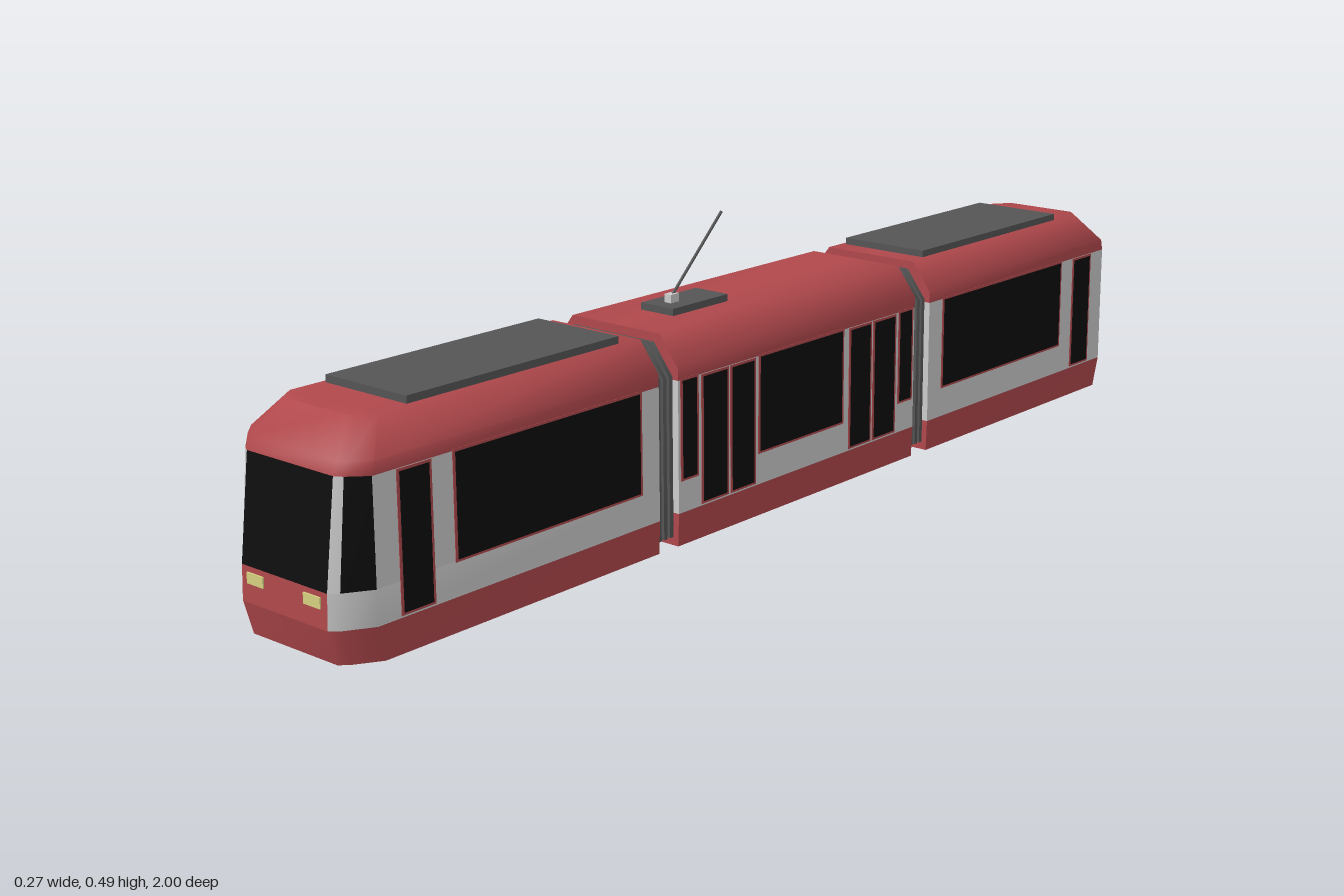
import * as THREE from 'three';
import { toCreasedNormals } from 'three/addons/utils/BufferGeometryUtils.js';

const mat = (color) => new THREE.MeshStandardMaterial({ color });
const RED = mat(0xb0484c), GREY = mat(0xcccccc), DARK = mat(0x555555), GLASS = mat(0x0d0d0d), LAMP = mat(0xd6d080);

const W = 0.133;
// body levels: height, half width, nose tip z, z where the corner meets the side
const LEVELS = [
  [0, 0.131, 0.985, 0.93],
  [0.055, W, 1.0, 0.943],
  [0.11, W, 0.998, 0.943],
  [0.275, W, 0.978, 0.943],
  [0.295, W, 0.972, 0.938],
  [0.345, 0.095, 0.925, 0.895],
];

// plan outline of a cab car at one level, closed by its inner end wall
function cabRing([y, w, zf, zc]) {
  const a = w * 0.7, b = w * 0.8, zb = zf - (zf - zc) * 0.22, z0 = 0.36;
  return [[-w, z0], [-w, zc], [-b, zb], [-a, zf], [a, zf], [b, zb], [w, zc], [w, z0], [-w, z0]]
    .map(([x, z]) => [x, y, z]);
}

// plan outline of a straight block at one level
const blockRing = (y, w, l) => [[-w, -l], [-w, l], [w, l], [w, -l], [-w, -l]].map(([x, z]) => [x, y, z]);

// collapse an outline onto the centre line, to close the top or bottom
const centre = (ring) => ring.map(([, y, z]) => [0, y, z]);

// skin over stacked outlines, limited to the chosen columns
function skin(parent, name, material, rings, columns) {
  const pos = [];
  const cols = columns ?? rings[0].slice(1).map((_, i) => i);
  for (let r = 0; r + 1 < rings.length; r++) {
    for (const c of cols) {
      const p = rings[r][c], q = rings[r][c + 1], s = rings[r + 1][c + 1], t = rings[r + 1][c];
      pos.push(...p, ...q, ...s, ...p, ...s, ...t);
    }
  }
  const g = new THREE.BufferGeometry();
  g.setAttribute('position', new THREE.Float32BufferAttribute(pos, 3));
  const mesh = new THREE.Mesh(toCreasedNormals(g, 1.0), material);
  mesh.name = name;
  parent.add(mesh);
}

function box(parent, name, material, size, at) {
  const mesh = new THREE.Mesh(new THREE.BoxGeometry(...size), material);
  mesh.position.set(...at);
  mesh.name = name;
  parent.add(mesh);
  return mesh;
}

// framed dark pane on both sides, between z0..z1 and y0..y1
function panes(parent, name, z0, z1, y0, y1) {
  const h = y1 - y0, d = z1 - z0, y = (y0 + y1) / 2, z = (z0 + z1) / 2;
  for (const s of [-1, 1]) {
    box(parent, name + 'Frame', RED, [0.004, h + 0.008, d + 0.01], [s * (W - 0.001), y, z]);
    box(parent, name, GLASS, [0.004, h, d], [s * W, y, z]);
  }
}
const door = (parent, z0, z1) => panes(parent, 'door', z0, z1, 0.062, 0.27);
const sideWindow = (parent, z0, z1) => panes(parent, 'sideWindow', z0, z1, 0.112, 0.273);

function cabCar() {
  const car = new THREE.Group();
  const R = LEVELS.map(cabRing);
  skin(car, 'underside', DARK, [centre(R[0]), R[0]]);
  skin(car, 'skirt', RED, [R[0], R[1]]);
  skin(car, 'nosePanel', RED, [R[1], R[2]], [3]);
  skin(car, 'lowerWall', GREY, [R[1], R[2]], [0, 1, 2, 4, 5, 6, 7]);
  skin(car, 'upperWall', GREY, [R[2], R[3]], [0, 2, 4, 6, 7]);
  skin(car, 'windshield', GLASS, [R[2], R[3]], [3]);
  skin(car, 'cornerWindows', GLASS, [R[2], R[3]], [1, 5]);
  skin(car, 'roof', RED, [R[3], R[4], R[5], centre(R[5])]);
  door(car, 0.84, 0.895);
  sideWindow(car, 0.405, 0.79);
  box(car, 'roofUnit', DARK, [0.174, 0.014, 0.435], [0, 0.35, 0.618]);
  for (const s of [-1, 1]) box(car, 'headlight', LAMP, [0.036, 0.017, 0.006], [s * 0.062, 0.093, 0.998]);
  return car;
}

function middleCar() {
  const car = new THREE.Group();
  const R = LEVELS.map(([y, w]) => blockRing(y, w, 0.315));
  skin(car, 'underside', DARK, [centre(R[0]), R[0]]);
  skin(car, 'skirt', RED, [R[0], R[1]]);
  skin(car, 'wall', GREY, [R[1], R[3]]);
  skin(car, 'roof', RED, [R[3], R[4], R[5], centre(R[5])]);
  sideWindow(car, -0.105, 0.113);
  for (const s of [-1, 1]) {
    const mirrored = (fn, a, b) => fn(car, Math.min(s * a, s * b), Math.max(s * a, s * b));
    mirrored(door, 0.13, 0.184);
    mirrored(door, 0.198, 0.255);
    mirrored(sideWindow, 0.272, 0.305);
  }
  return car;
}

// power pickup: base, joint and slanted pole
function pickup() {
  const g = new THREE.Group();
  box(g, 'pickupBase', DARK, [0.07, 0.014, 0.136], [0, 0.35, 0.148]);
  box(g, 'pickupJoint', GREY, [0.014, 0.014, 0.02], [0, 0.364, 0.18]);
  const from = new THREE.Vector3(0, 0.362, 0.185), to = new THREE.Vector3(0, 0.488, 0.055);
  const dir = to.clone().sub(from);
  const pole = new THREE.Mesh(new THREE.CylinderGeometry(0.0025, 0.0025, dir.length(), 8), DARK);
  pole.position.copy(from).add(to).multiplyScalar(0.5);
  pole.quaternion.setFromUnitVectors(new THREE.Vector3(0, 1, 0), dir.normalize());
  pole.name = 'pickupPole';
  g.add(pole);
  return g;
}

// ribbed flexible joint between two cars
function bellows() {
  const g = new THREE.Group();
  const rib = (name, inset, z, halfLength) => {
    const rings = [[0.008, W], [0.29, W], [0.34, 0.095]]
      .map(([y, w], i) => blockRing(i ? y - inset : y + inset, w - inset, halfLength));
    const part = new THREE.Group();
    skin(part, name, DARK, [centre(rings[0]), ...rings, centre(rings[2])]);
    part.position.z = z;
    g.add(part);
  };
  rib('bellowsCore', 0.018, 0, 0.024);
  for (const z of [-0.014, 0, 0.014]) rib('bellowsRib', 0.008, z, 0.004);
  return g;
}

export function createModel() {
  const tram = new THREE.Group();
  tram.name = 'tram';
  const add = (name, part) => {
    part.name = name;
    tram.add(part);
    return part;
  };
  add('frontCar', cabCar());
  add('rearCar', cabCar()).rotation.y = Math.PI;
  add('middleCar', middleCar());
  add('pickup', pickup());
  for (const s of [-1, 1]) add('bellows', bellows()).position.z = s * 0.3375;
  return tram;
}
